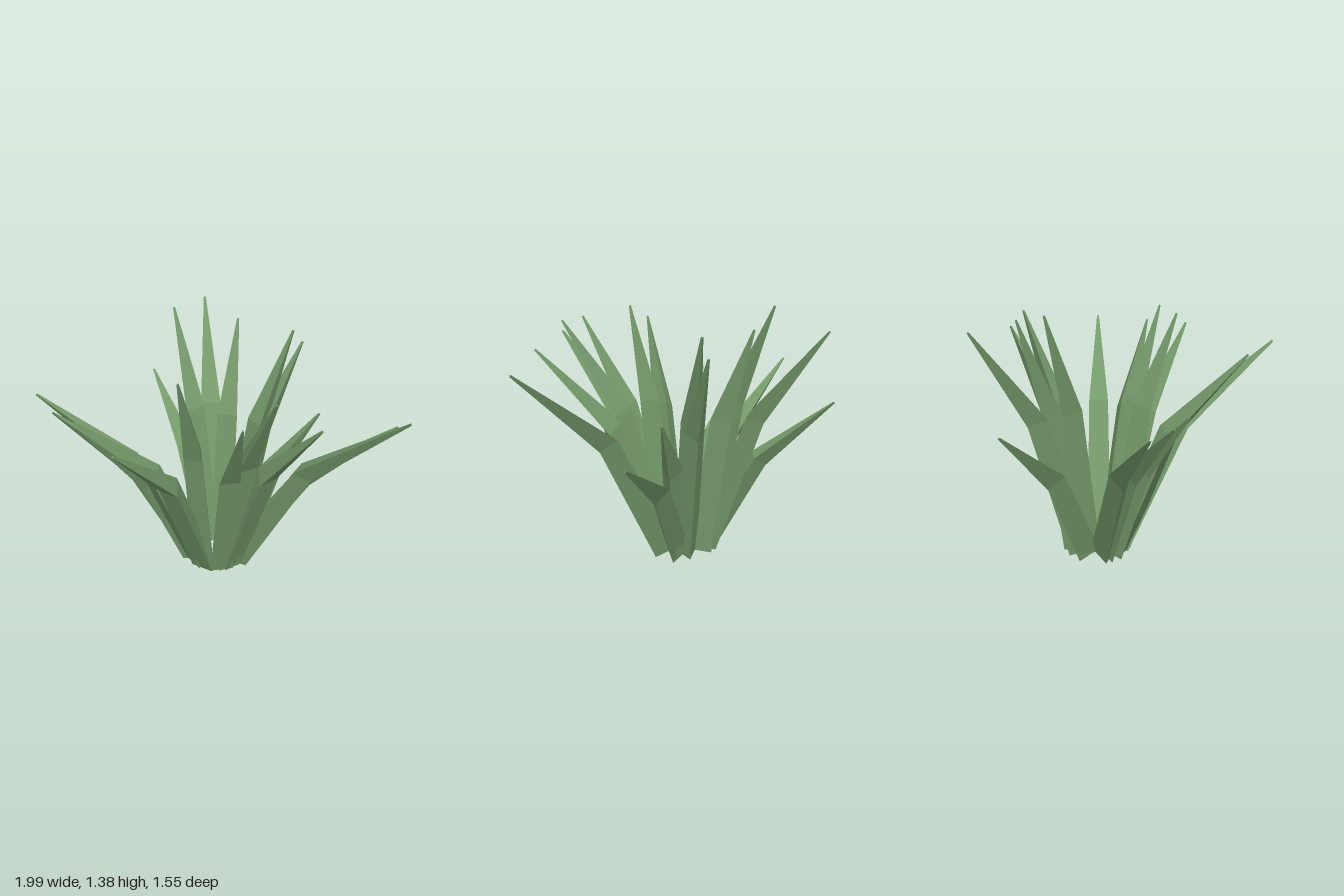
import * as THREE from 'three';

// Leaf tips: x, y, z, and whether the ridge of the blade points outward (1) or inward (-1)
const TIPS = [
  [-0.99, 0.90, -0.36, 1], [-0.88, 0.90, -0.15, 1], [-0.69, 0.89, 0.08, 1],
  [-0.70, 1.17, 0.43, -1], [-0.50, 1.19, 0.77, -1], [-0.20, 1.33, 0.36, -1],
  [0.09, 1.23, 0.64, -1], [0.25, 1.32, 0.57, -1], [0.46, 1.21, 0.63, -1],
  [0.89, 1.19, 0.55, 1], [0.99, 0.82, -0.04, 1], [0.56, 0.90, -0.07, 1],
  [0.48, 1.23, -0.28, 1], [0.42, 1.32, -0.23, 1], [0.14, 1.31, -0.42, 1],
  [-0.03, 1.29, -0.77, 1], [-0.21, 1.37, -0.45, 1], [-0.34, 0.83, -0.77, 1],
];
const BASE_RADIUS = 0.125, BASE_Y = 0.04;
const RADII = [0.075, 0.064, 0.007];

// Three-sided tapering blade with one bend
function bladeGeometry([x, y, z, ridge]) {
  const radial = new THREE.Vector3(x, 0, z).normalize();
  const side = new THREE.Vector3(0, 1, 0).cross(radial);
  const base = radial.clone().multiplyScalar(BASE_RADIUS).setY(BASE_Y);
  const tip = new THREE.Vector3(x, y, z);
  const bend = base.clone().lerp(tip, 0.41);
  bend.y = BASE_Y + (y - BASE_Y) * 0.61;

  const lower = bend.clone().sub(base).normalize();
  const upper = tip.clone().sub(bend).normalize();
  const middle = lower.clone().add(upper).normalize();
  const centres = [base, bend, tip];

  const rings = [lower, middle, upper].map((dir, i) => {
    const out = side.clone().cross(dir);
    return [0, 1, 2].map((k) => {
      const a = (k * 2 * Math.PI) / 3 + (ridge < 0 ? Math.PI : 0);
      return centres[i].clone()
        .addScaledVector(out, Math.cos(a) * RADII[i])
        .addScaledVector(side, Math.sin(a) * RADII[i]);
    });
  });

  const points = [];
  for (let i = 0; i < 2; i++) {
    for (let k = 0; k < 3; k++) {
      const n = (k + 1) % 3;
      const [a, b, c, d] = [rings[i][k], rings[i][n], rings[i + 1][n], rings[i + 1][k]];
      points.push(a, b, c, a, c, d);
    }
  }
  // End caps
  points.push(rings[0][0], rings[0][2], rings[0][1], ...rings[2]);

  const geometry = new THREE.BufferGeometry().setFromPoints(points);
  geometry.computeVertexNormals();
  return geometry;
}

export function createModel() {
  const plant = new THREE.Group();
  plant.name = 'spikyPlant';
  const material = new THREE.MeshStandardMaterial({ color: 0x74996a, flatShading: true });
  TIPS.forEach((tip, i) => {
    const leaf = new THREE.Mesh(bladeGeometry(tip), material);
    leaf.name = `leaf${i + 1}`;
    plant.add(leaf);
  });
  return plant;
}
